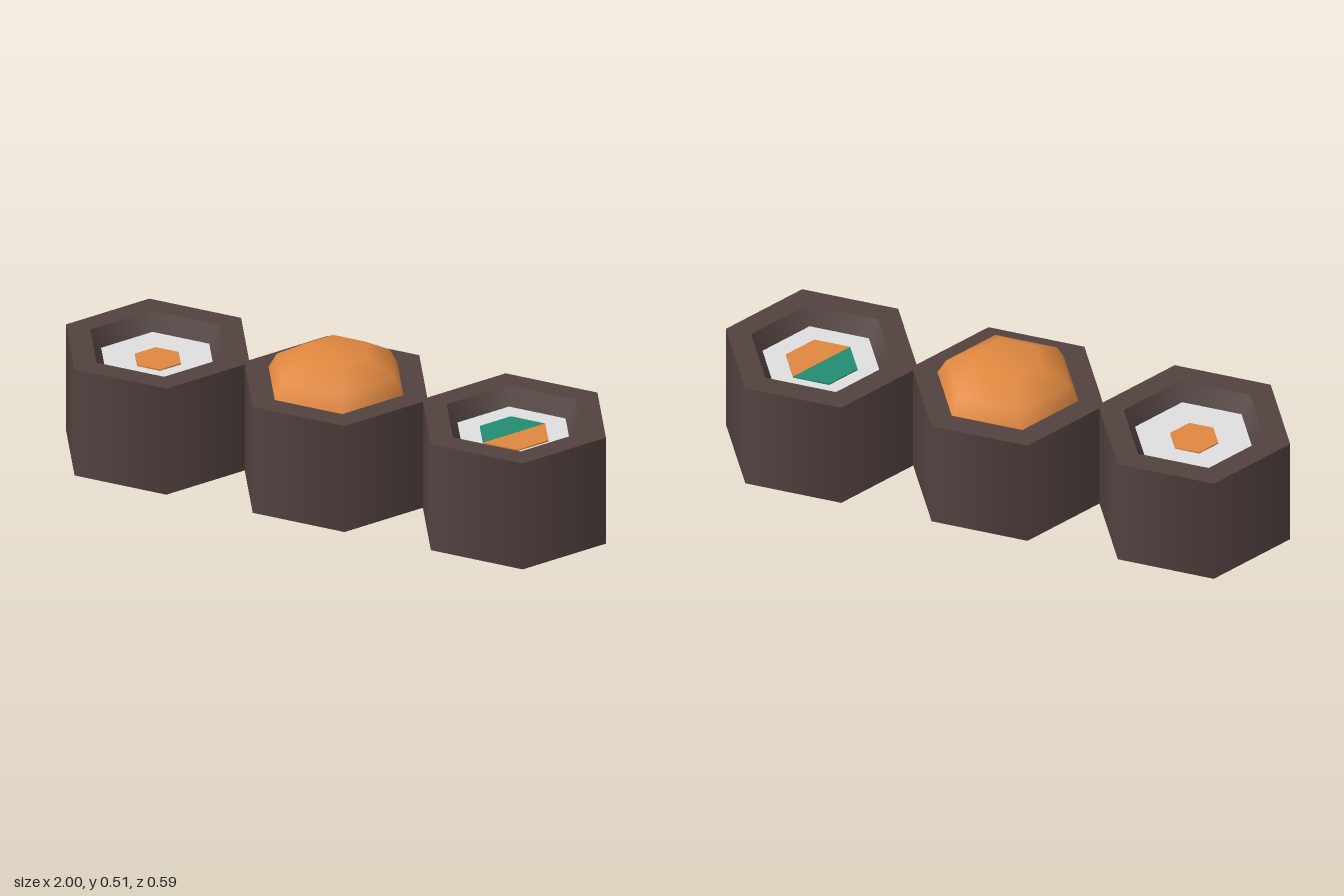
import * as THREE from 'three';

const wrapper = new THREE.MeshStandardMaterial({ color: 0x524240 });
wrapper.name = 'dark wrapper';
const rice = new THREE.MeshStandardMaterial({ color: 0xe0e0e0 });
rice.name = 'white rice';
const orange = new THREE.MeshStandardMaterial({ color: 0xe0883f });
orange.name = 'orange filling';
const green = new THREE.MeshStandardMaterial({ color: 0x238c70 });
green.name = 'green filling';

const R = 0.34, RIM = 0.25, FLOOR = 0.21;
const TOP = 0.397, RICE_Y = 0.337, SPACING = 0.66;

// Six-sided turned surface with corners on the x axis; profile runs bottom to top on the outside
function hexLathe(name, profile, material, segments = 6, start = Math.PI / 6) {
  const points = profile.map(([r, y]) => new THREE.Vector2(r, y));
  const geometry = new THREE.LatheGeometry(points, segments, start, segments * Math.PI / 3);
  const mesh = new THREE.Mesh(geometry, material);
  mesh.name = name;
  return mesh;
}

// Thin filling plate lying on the rice
function fillingPlate(name, radius, material, segments, start) {
  const y = RICE_Y + 0.005;
  const plate = new THREE.Group();
  plate.name = name;
  plate.add(
    hexLathe(name + 'Edge', [[radius, RICE_Y], [radius, y]], material, segments, start),
    hexLathe(name + 'Top', [[radius, y], [0, y]], material, segments, start),
  );
  return plate;
}

// Wrapper: each face band is separate so that its edges stay sharp
function roll(name, x, hollow) {
  const group = new THREE.Group();
  group.name = name;
  group.position.x = x;
  group.add(
    hexLathe('base', [[0, 0], [R, 0]], wrapper),
    hexLathe('outerWall', [[R, 0], [R, TOP]], wrapper),
    hexLathe('rim', [[R, TOP], [RIM, TOP]], wrapper),
  );
  if (hollow) {
    group.add(
      hexLathe('innerWall', [[RIM, TOP], [FLOOR, RICE_Y]], wrapper),
      hexLathe('rice', [[FLOOR, RICE_Y], [0, RICE_Y]], rice),
    );
  }
  return group;
}

export function createModel() {
  const model = new THREE.Group();
  model.name = 'threeRolls';

  // Roll with a small single filling
  const small = roll('singleFillingRoll', -SPACING, true);
  small.add(fillingPlate('smallFilling', 0.085, orange));

  // Middle roll with a heaped dome
  const middle = roll('domeRoll', 0, false);
  middle.add(hexLathe('dome', [[RIM, TOP], [0.219, 0.453], [0.121, 0.51], [0, 0.51]], orange));

  // Roll with a filling split diagonally in two
  const split = roll('splitFillingRoll', SPACING, true);
  split.add(
    fillingPlate('greenHalf', 0.127, green, 3, Math.PI * 5 / 6),
    fillingPlate('orangeHalf', 0.127, orange, 3, Math.PI * 11 / 6),
  );

  model.add(small, middle, split);
  return model;
}
